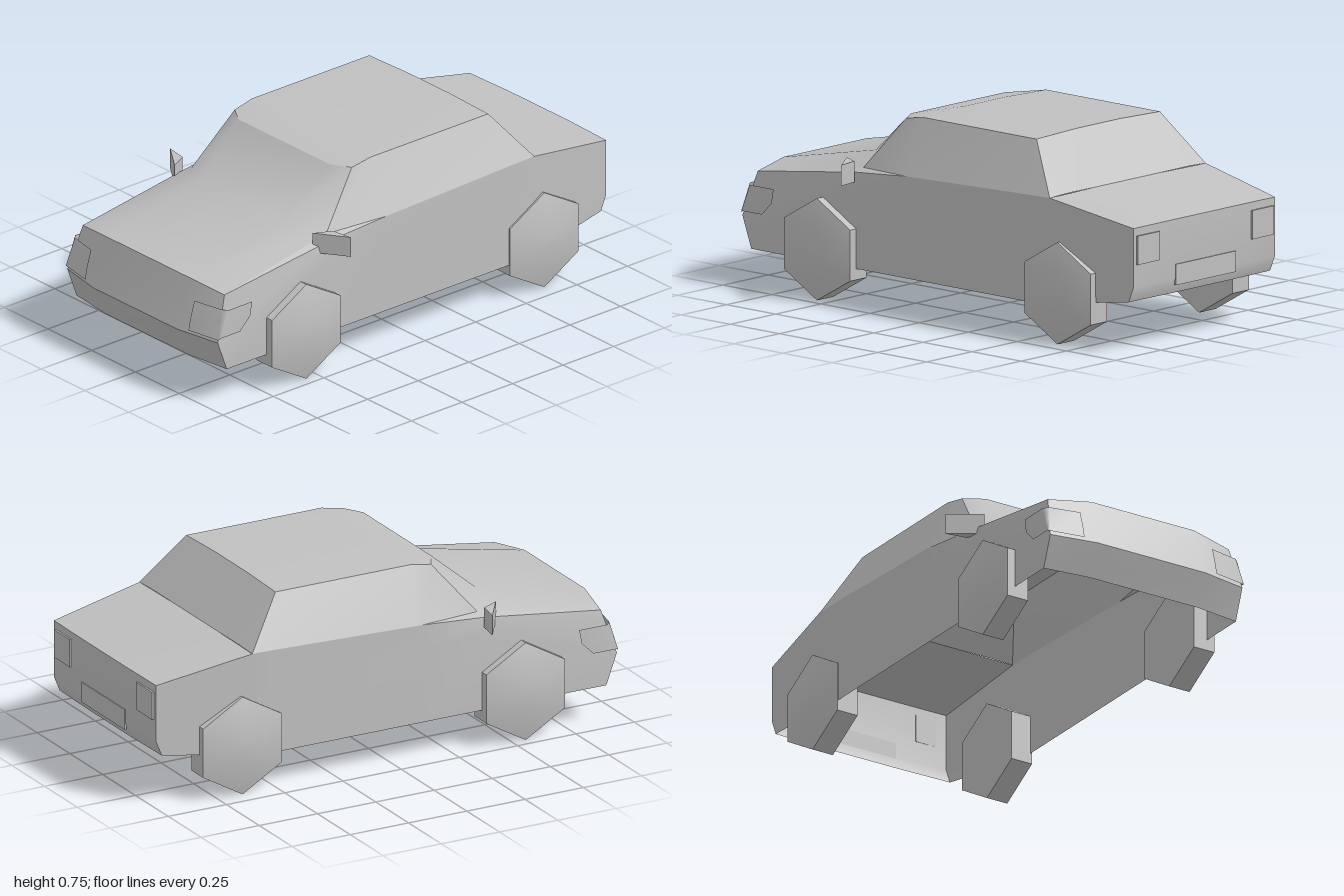
import * as THREE from 'three';

const paint = new THREE.MeshStandardMaterial({ color: 0xc0c0c0, side: THREE.DoubleSide });
paint.name = 'grey paint';

// Smooth surface through rows of [x, y, z] points
function panel(name, rows) {
  const n = rows[0].length, index = [];
  for (let r = 0; r < rows.length - 1; r++) {
    for (let c = 0; c < n - 1; c++) {
      const a = r * n + c;
      index.push(a, a + n, a + 1, a + 1, a + n, a + n + 1);
    }
  }
  const g = new THREE.BufferGeometry();
  g.setAttribute('position', new THREE.Float32BufferAttribute(rows.flat(2), 3));
  g.setIndex(index);
  g.computeVertexNormals();
  const mesh = new THREE.Mesh(g, paint);
  mesh.name = name;
  return mesh;
}

const flip = ([x, y, z]) => [-x, y, z];

export function createModel() {
  const car = new THREE.Group();
  car.name = 'car';

  // Panels across the car: each row is given from its left end to the middle
  const across = (name, halves) =>
    car.add(panel(name, halves.map(h => [...h, ...h.map(flip).reverse()])));
  // Side panels, rows from top to bottom and front to back, made for both sides
  const sides = (name, rows) => {
    car.add(panel(name + 'Left', rows));
    car.add(panel(name + 'Right', rows.map(r => r.map(flip).reverse())));
  };

  // Edges shared by neighbouring panels
  const hoodEdge = [[0.405, 0.435, 0.91], [0.23, 0.457, 0.94]];
  const noseEdge = [[0.43, 0.262, 0.965], [0.24, 0.262, 1.0]];
  const cowl = [[0.385, 0.52, 0.39], [0.23, 0.552, 0.47]];
  const screenTop = [[0.335, 0.725, 0.22], [0.26, 0.725, 0.265]];
  const roofFront = [[0.34, 0.742, 0.13], [0.12, 0.749, 0.13]];
  const roofBack = [[0.34, 0.742, -0.45], [0.12, 0.749, -0.45]];
  const glassBase = [[0.34, 0.555, -0.6], [0.12, 0.555, -0.6]];
  const tailTop = [[0.39, 0.485, -0.99], [0.17, 0.487, -0.995]];
  const fender = [0.415, 0.505, 0.4], doorTop = [0.43, 0.53, 0.13];
  const deckCorner = [0.43, 0.552, -0.6];

  // Body shell, open underneath
  across('frontBumper', [[[0.43, 0.14, 0.92], [0.24, 0.14, 0.945]], noseEdge]);
  across('grille', [noseEdge, hoodEdge]);
  across('hoodAndWindshield', [hoodEdge, cowl, screenTop]);
  across('roof', [screenTop, roofFront, roofBack]);
  across('rearWindow', [roofBack, glassBase]);
  across('trunkLid', [[deckCorner, [0.17, 0.555, -0.6]], tailTop]);
  across('tail', [tailTop, [[0.39, 0.26, -0.99], [0.17, 0.26, -0.995]],
    [[0.39, 0.2, -0.965], [0.17, 0.2, -0.97]]]);

  sides('bodySide', [
    [hoodEdge[0], fender, doorTop, [0.43, 0.55, -0.5], deckCorner, tailTop[0]],
    [noseEdge[0], [0.43, 0.44, 0.4], [0.43, 0.44, 0.13], [0.43, 0.44, -0.5], [0.43, 0.44, -0.6], [0.39, 0.26, -0.99]],
    [[0.43, 0.14, 0.92], [0.43, 0.14, 0.4], [0.43, 0.14, 0.13], [0.43, 0.14, -0.48], [0.43, 0.15, -0.6], [0.39, 0.2, -0.965]],
  ]);
  sides('fenderTop', [[hoodEdge[0], cowl[0], doorTop], [hoodEdge[0], fender, doorTop]]);
  sides('sideWindow', [
    [screenTop[0], roofFront[0], roofBack[0], roofBack[0]],
    [cowl[0], doorTop, [0.43, 0.55, -0.5], deckCorner],
  ]);
  sides('rearPillar', [[roofBack[0], roofBack[0]], [deckCorner, glassBase[0]]]);

  // Headlamps wrapping round the corners
  sides('headlamp', [
    [[0.295, 0.388, 0.963], [0.418, 0.388, 0.938], [0.437, 0.385, 0.92], [0.436, 0.385, 0.8]],
    [[0.295, 0.33, 0.981], [0.426, 0.33, 0.954], [0.438, 0.33, 0.94], [0.437, 0.33, 0.81]],
    [[0.295, 0.275, 0.993], [0.435, 0.275, 0.968], [0.438, 0.28, 0.958], [0.437, 0.28, 0.86]],
  ]);

  // Tail lamps and rear plate
  const plate = (name, w, h, x, y) => {
    const m = new THREE.Mesh(new THREE.BoxGeometry(w, h, 0.008), paint);
    m.name = name;
    m.position.set(x, y, -0.995);
    car.add(m);
  };
  plate('rearPlate', 0.33, 0.08, 0, 0.275);

  for (const s of [1, -1]) {
    plate('tailLamp', 0.12, 0.11, s * 0.315, 0.4);

    // Wedge shaped door mirror
    const plan = new THREE.Shape([[0.395, 0.465], [0.517, 0.382], [0.43, 0.395]]
      .map(([x, z]) => new THREE.Vector2(s * x, -z)));
    const g = new THREE.ExtrudeGeometry(plan, { depth: 0.08, bevelEnabled: false });
    g.rotateX(-Math.PI / 2);
    const mirror = new THREE.Mesh(g, paint);
    mirror.name = 'doorMirror';
    mirror.position.y = 0.47;
    car.add(mirror);

    // Six-sided wheels: flat tread and a shallow domed outer face
    for (const [name, z, x] of [['frontWheel', 0.555, 0.372], ['rearWheel', -0.645, 0.345]]) {
      const wheel = new THREE.Group();
      wheel.name = name;
      const part = (label, pts) => {
        const lathe = new THREE.LatheGeometry(pts.map(p => new THREE.Vector2(...p)), 6, Math.PI / 2);
        const flat = lathe.toNonIndexed();
        flat.computeVertexNormals();
        const m = new THREE.Mesh(label === 'hubFace' ? lathe : flat, paint);
        m.name = label;
        wheel.add(m);
      };
      part('tyre', [[0, 0], [0.195, 0], [0.195, 0.091]]);
      part('hubFace', [[0.195, 0.091], [0.09, 0.119], [0, 0.121]]);
      wheel.rotation.z = -s * Math.PI / 2;
      wheel.position.set(s * x, 0.195, z);
      car.add(wheel);
    }
  }
  return car;
}
